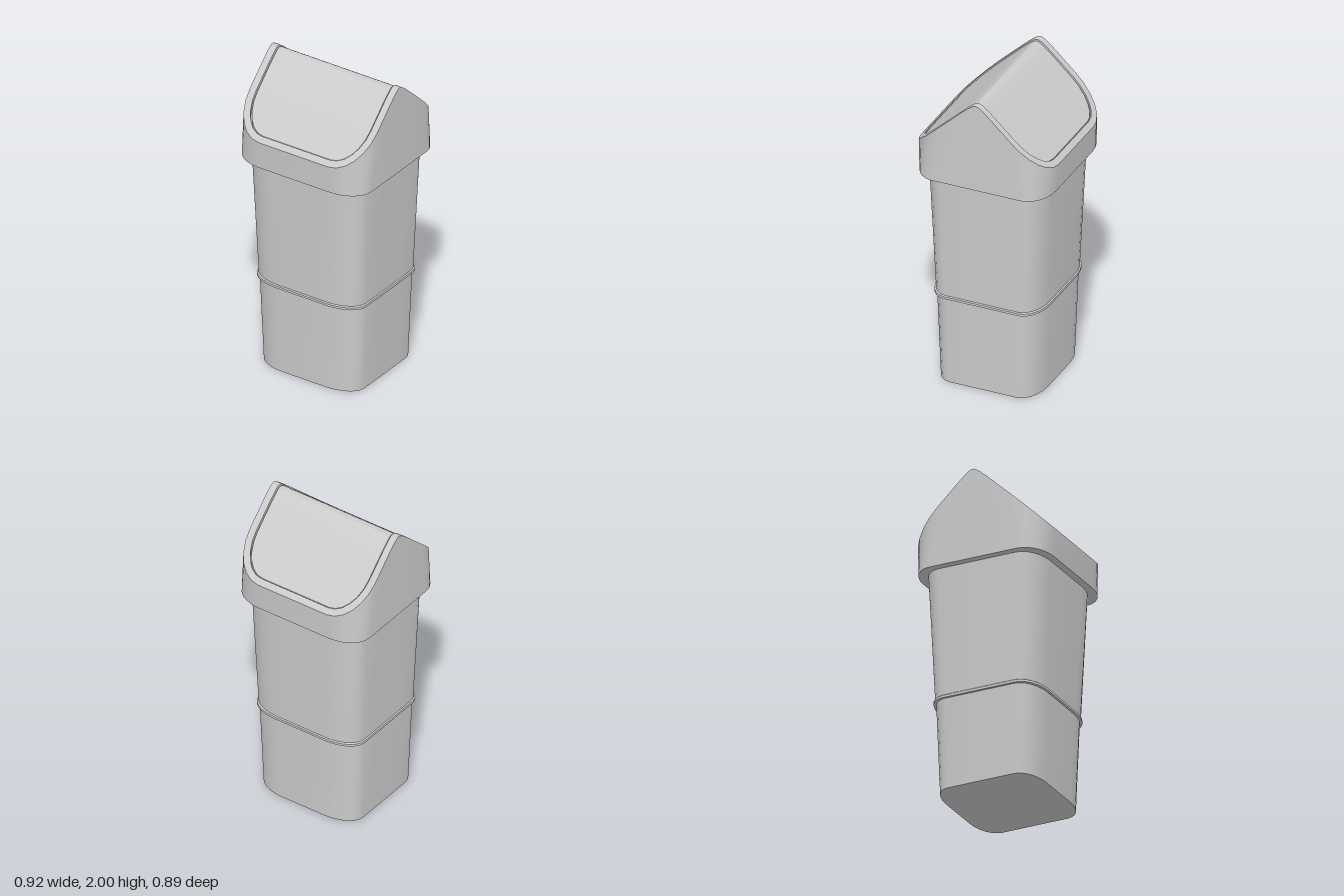
import * as THREE from 'three';
import { toCreasedNormals } from 'three/addons/utils/BufferGeometryUtils.js';

const SIDE_Z = [0.1, 0.05, 0.025, 0.01, 0, -0.01, -0.025, -0.05, -0.1];
const CORNER_STEPS = 6;

// Gable roof height over z, with a softly rounded ridge
const roof = (z, drop = 0) => 2 - drop - 0.96 * (Math.hypot(z, 0.03) - 0.03);

// Rounded rectangle ring, front -> +x -> back -> -x; y is a number or a function of z
function ring(hx, hz, rx, rz, y) {
  const half = [];
  const corner = (a, sign) => half.push([hx - rx + rx * Math.sin(a), sign * (hz - rz + rz * Math.cos(a))]);
  for (let i = 0; i <= CORNER_STEPS; i++) corner((i / CORNER_STEPS) * Math.PI / 2, 1);
  SIDE_Z.forEach((z) => half.push([hx, z]));
  for (let i = CORNER_STEPS; i >= 0; i--) corner((i / CORNER_STEPS) * Math.PI / 2, -1);
  const mirrored = half.map(([x, z]) => [-x, z]).reverse();
  return [...half, ...mirrored].map(([x, z]) => new THREE.Vector3(x, typeof y === 'function' ? y(z) : y, z));
}

// Skin a stack of rings, optionally closing the first and last one
function loft(name, rings, material, { capStart = false, capEnd = false } = {}) {
  const pts = [];
  const quad = (a, b, c, d) => pts.push(a, b, c, a, c, d);
  const n = rings[0].length;
  for (let k = 0; k < rings.length - 1; k++) {
    const a = rings[k], b = rings[k + 1];
    for (let i = 0; i < n; i++) {
      const j = (i + 1) % n;
      quad(a[i], a[j], b[j], b[i]);
    }
  }
  // caps are strips running from side to side
  const cap = (r, up) => {
    for (let i = 0; i < n / 2 - 1; i++) {
      const q = [r[i], r[i + 1], r[n - 2 - i], r[n - 1 - i]];
      quad(...(up ? q : q.reverse()));
    }
  };
  if (capStart) cap(rings[0], false);
  if (capEnd) cap(rings[rings.length - 1], true);
  const geometry = toCreasedNormals(new THREE.BufferGeometry().setFromPoints(pts), 0.6);
  const mesh = new THREE.Mesh(geometry, material);
  mesh.name = name;
  return mesh;
}

export function createModel() {
  const group = new THREE.Group();
  group.name = 'swingLidBin';
  const grey = new THREE.MeshStandardMaterial({ color: 0xcccccc, side: THREE.DoubleSide });

  // Tapered bin with a small step between lower and upper part
  group.add(loft('body', [
    ring(0.355, 0.335, 0.2, 0.115, 0),
    ring(0.375, 0.352, 0.2, 0.12, 0.58),
    ring(0.386, 0.364, 0.2, 0.12, 0.582),
    ring(0.386, 0.364, 0.2, 0.12, 0.597),
    ring(0.379, 0.357, 0.2, 0.12, 0.603),
    ring(0.41, 0.39, 0.2, 0.13, 1.44),
  ], grey, { capStart: true }));

  // Gabled hood with an underside lip and a frame around the flap
  group.add(loft('lidHood', [
    ring(0.405, 0.385, 0.2, 0.13, 1.42),
    ring(0.456, 0.435, 0.2, 0.145, 1.42),
    ring(0.46, 0.446, 0.21, 0.21, (z) => roof(z)),
    ring(0.415, 0.415, 0.17, 0.18, (z) => roof(z)),
    ring(0.415, 0.415, 0.17, 0.18, (z) => roof(z, 0.05)),
  ], grey));

  // Swinging flap set into the hood
  group.add(loft('swingFlap', [
    ring(0.408, 0.408, 0.165, 0.175, (z) => roof(z, 0.05)),
    ring(0.408, 0.408, 0.165, 0.175, (z) => roof(z, 0.008)),
  ], grey, { capStart: true, capEnd: true }));

  return group;
}
